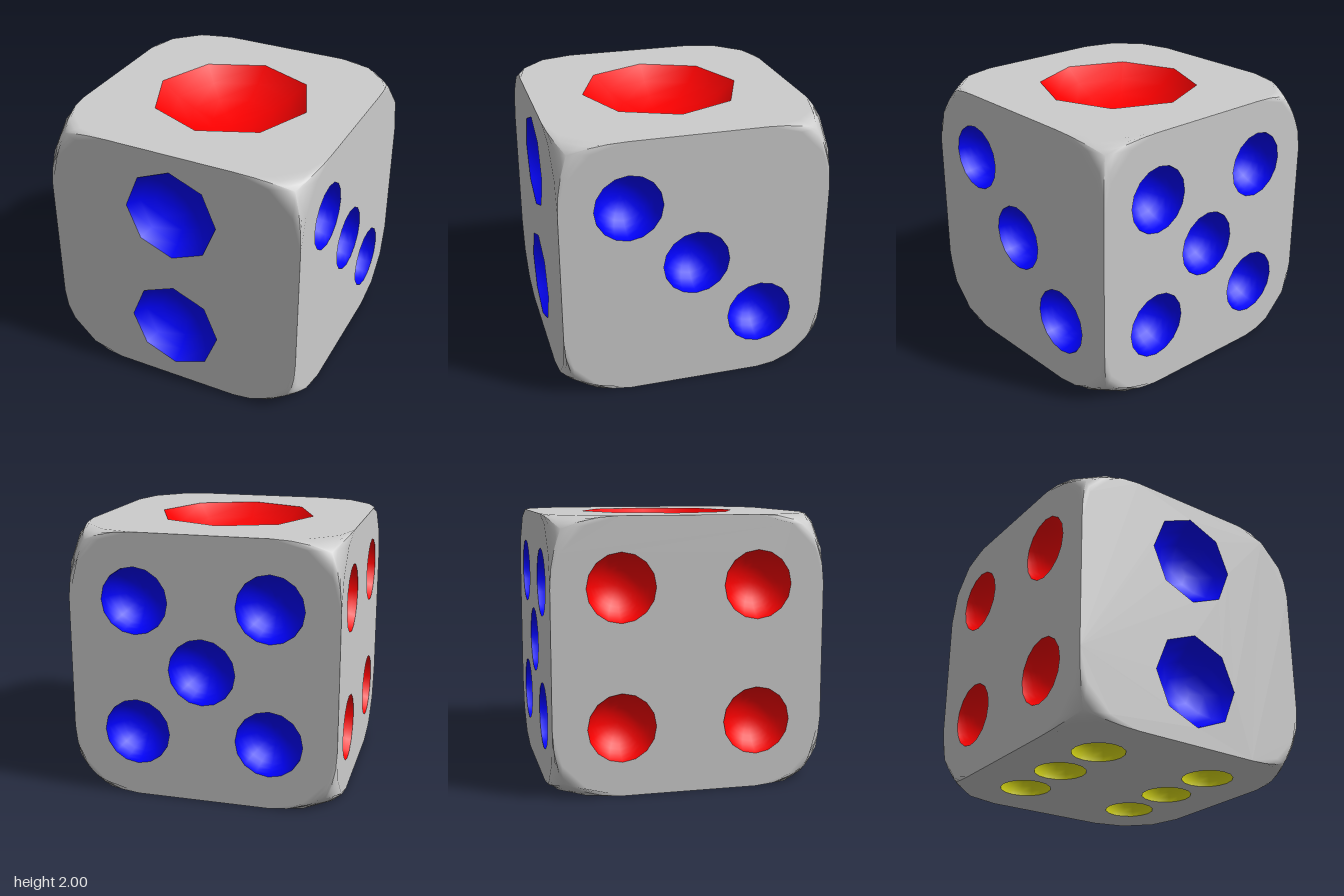
import * as THREE from 'three';
import { ParametricGeometry } from 'three/addons/geometries/ParametricGeometry.js';

const C = 0.5;              // centre of each corner's ball, on all three axes
const FILLET = 0.5;         // arc the ball leaves on every face
const BALL = Math.SQRT1_2;  // ball radius
const ARC = 3, RADIAL = 3;

const grey = new THREE.MeshStandardMaterial({ color: 0xcccccc });
const paint = (color) => new THREE.MeshStandardMaterial({ color, side: THREE.DoubleSide });
const blue = paint(0x0000ff), red = paint(0xff0000), yellow = paint(0xd8d816);

const PI = Math.PI, H = 0.5;
const four = [[-H, H], [H, H], [-H, -H], [H, -H]];

// One entry per side: rotation from the front, pip radius, sides per pip,
// slope of the bowl at its rim, pip centres
const FACES = [
  { name: 'front', rot: [0, 0], r: 0.361, n: 8, slope: 67, mat: blue, pips: [[0, H], [0, -H]] },
  { name: 'back', rot: [0, PI], r: 0.25, n: 16, slope: 90, mat: blue, pips: [...four, [0, 0]] },
  { name: 'right', rot: [0, PI / 2], r: 0.25, n: 16, slope: 90, mat: blue, pips: [[-H, H], [0, 0], [H, -H]] },
  { name: 'left', rot: [0, -PI / 2], r: 0.25, n: 16, slope: 68, mat: red, pips: four },
  { name: 'top', rot: [-PI / 2, 0], r: 0.604, n: 8, slope: 45, mat: red, pips: [[0, 0]] },
  { name: 'bottom', rot: [PI / 2, 0], r: 0.195, n: 16, slope: 90, mat: yellow, pips: [...four, [-H, 0], [H, 0]] },
];

// Square with filleted corners and a polygonal hole for every pip
function faceGeometry({ r, n, pips }) {
  const outline = [];
  for (const [sx, sy, q] of [[1, 1, 0], [-1, 1, 1], [-1, -1, 2], [1, -1, 3]]) {
    for (let i = 0; i <= ARC; i++) {
      const a = (q + i / ARC) * PI / 2;
      outline.push(new THREE.Vector2(sx * C + FILLET * Math.cos(a), sy * C + FILLET * Math.sin(a)));
    }
  }
  const shape = new THREE.Shape(outline);
  for (const [x, y] of pips) {
    const ring = [];
    for (let i = 0; i < n; i++) {
      const a = -2 * PI * i / n;
      ring.push(new THREE.Vector2(x + r * Math.cos(a), y + r * Math.sin(a)));
    }
    shape.holes.push(new THREE.Path(ring));
  }
  return new THREE.ShapeGeometry(shape).translate(0, 0, 1);
}

// Hollow bowl with its rim at z = 0
function bowlGeometry({ r, n, slope }) {
  const tilt = slope * PI / 180, R = r / Math.sin(tilt);
  return new THREE.SphereGeometry(R, n, n / 2, 0, 2 * PI, PI - tilt, tilt)
    .rotateX(PI / 2)
    .translate(0, 0, R * Math.cos(tilt));
}

// A third of a rounded corner: from a face's fillet up to the corner's centre
function cornerGeometry() {
  const tip = new THREE.Vector3(1, 1, 1).setLength(BALL);
  const geo = new ParametricGeometry((u, v, target) => {
    const a = v * PI / 2;
    target.set(FILLET * Math.cos(a), FILLET * Math.sin(a), 1 - C).lerp(tip, u).setLength(BALL);
  }, RADIAL, ARC);
  // Normals blend from the flat face into the ball
  const pos = geo.attributes.position, p = new THREE.Vector3(), m = new THREE.Vector3();
  for (let i = 0; i < pos.count; i++) {
    p.fromBufferAttribute(pos, i).normalize();
    m.set(0, 0, 1).lerp(p, (i % (RADIAL + 1)) / RADIAL).normalize();
    geo.attributes.normal.setXYZ(i, m.x, m.y, m.z);
  }
  return geo.translate(C, C, C);
}

export function createModel() {
  const model = new THREE.Group();
  model.name = 'die';
  const body = new THREE.Group();
  body.name = 'body';
  body.position.y = 1;
  model.add(body);

  // Six sides with their hollow pips
  for (const f of FACES) {
    const side = new THREE.Group();
    side.name = f.name + 'Side';
    side.rotation.set(f.rot[0], f.rot[1], 0);
    const face = new THREE.Mesh(faceGeometry(f), grey);
    face.name = f.name + 'Face';
    side.add(face);
    const bowl = bowlGeometry(f);
    for (const [x, y] of f.pips) {
      const pip = new THREE.Mesh(bowl, f.mat);
      pip.name = f.name + 'Pip';
      pip.position.set(x, y, 1);
      side.add(pip);
    }
    body.add(side);
  }

  // Eight rounded corners, each made of three turned sectors
  const sector = cornerGeometry();
  const diagonal = new THREE.Vector3(1, 1, 1).normalize();
  for (let c = 0; c < 8; c++) {
    const corner = new THREE.Group();
    corner.name = 'roundedCorner';
    corner.rotation.set(c < 4 ? 0 : PI, (c % 4) * PI / 2, 0);
    for (let k = 0; k < 3; k++) {
      const part = new THREE.Mesh(sector, grey);
      part.name = 'cornerSector';
      part.quaternion.setFromAxisAngle(diagonal, k * 2 * PI / 3);
      corner.add(part);
    }
    body.add(corner);
  }
  return model;
}
